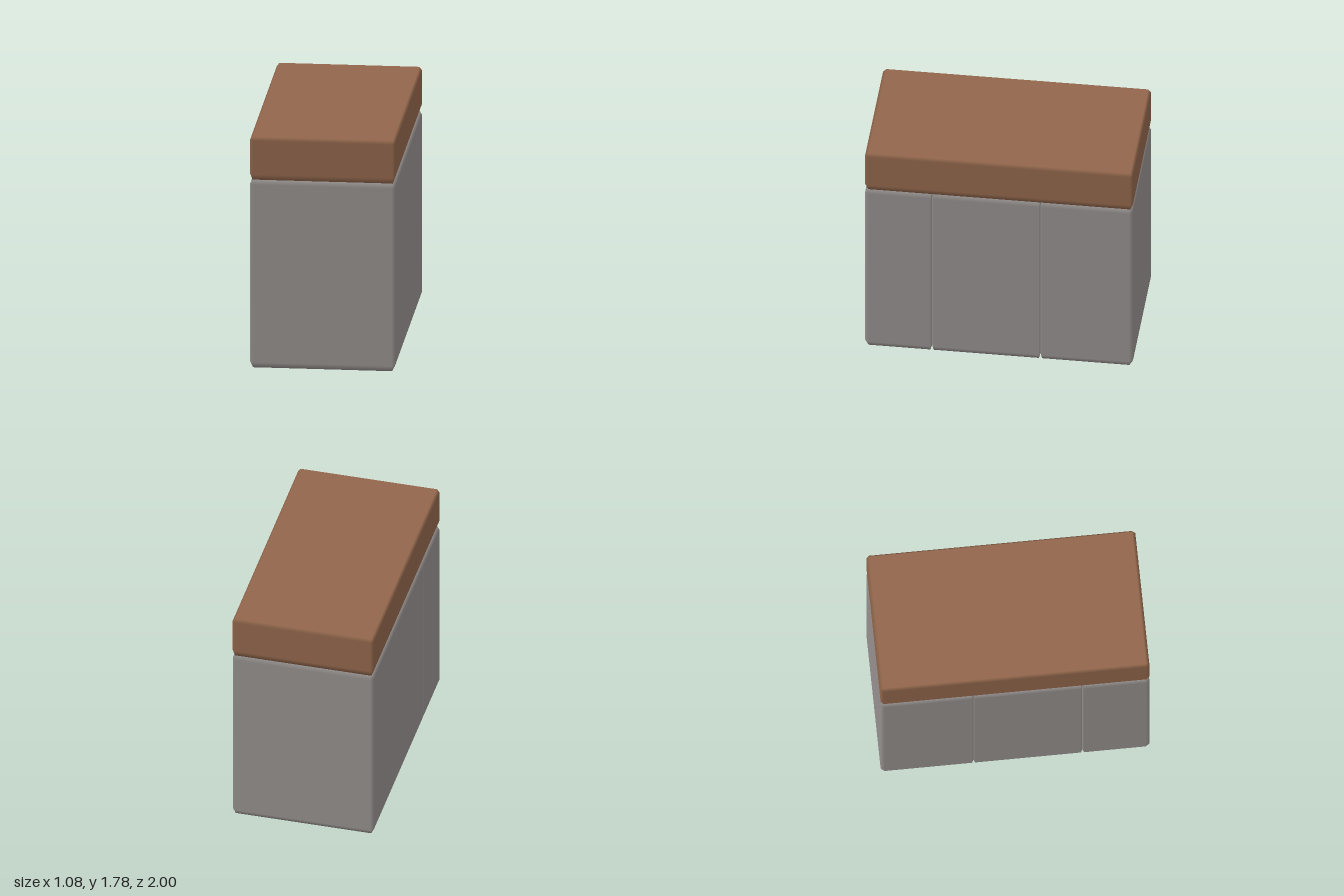
import * as THREE from 'three';

// Box with chamfered edges; lo/hi are opposite corners, bLo/bHi the chamfer on each axis side.
// Normals follow the main faces, so shading blends softly across the chamfers.
function chamferBox(lo, hi, bLo, bHi) {
  const pos = [], nor = [];
  const centre = new THREE.Vector3(...lo.map((v, i) => (v + hi[i]) / 2));
  // point of corner s that lies on the main face of the given axis
  const point = (s, axis) => new THREE.Vector3(...s.map((side, i) => {
    const inset = i === axis ? 0 : side > 0 ? bHi[i] : bLo[i];
    return side > 0 ? hi[i] - inset : lo[i] + inset;
  }));
  const tri = (...corners) => {
    const p = corners.map(([s, a]) => point(s, a));
    const n = p[1].clone().sub(p[0]).cross(p[2].clone().sub(p[0]));
    const outward = n.dot(p[0].clone().sub(centre)) > 0;
    for (const i of outward ? [0, 1, 2] : [0, 2, 1]) {
      const [s, a] = corners[i];
      pos.push(...p[i].toArray());
      nor.push(...[0, 1, 2].map((k) => (k === a ? s[k] : 0)));
    }
  };
  const quad = (a, b, c, d) => { tri(a, b, c); tri(a, c, d); };
  const corner = (axis, u, v, w) => {
    const s = [0, 0, 0];
    s[axis] = u; s[(axis + 1) % 3] = v; s[(axis + 2) % 3] = w;
    return s;
  };
  for (let a = 0; a < 3; a++) {
    const b = (a + 1) % 3, c = (a + 2) % 3;
    // main faces
    for (const u of [-1, 1]) {
      quad(...[[-1, -1], [1, -1], [1, 1], [-1, 1]].map(([v, w]) => [corner(a, u, v, w), a]));
    }
    // edge chamfers running along this axis
    for (const v of [-1, 1]) for (const w of [-1, 1]) {
      const s = corner(a, -1, v, w), e = corner(a, 1, v, w);
      quad([s, b], [e, b], [e, c], [s, c]);
    }
  }
  // corner triangles
  for (const x of [-1, 1]) for (const y of [-1, 1]) for (const z of [-1, 1]) {
    const s = [x, y, z];
    tri([s, 0], [s, 1], [s, 2]);
  }
  const g = new THREE.BufferGeometry();
  g.setAttribute('position', new THREE.Float32BufferAttribute(pos, 3));
  g.setAttribute('normal', new THREE.Float32BufferAttribute(nor, 3));
  return g;
}

export function createModel() {
  const model = new THREE.Group();
  const stone = new THREE.MeshStandardMaterial({ color: 0x96918f });
  stone.name = 'grey stone';
  const wood = new THREE.MeshStandardMaterial({ color: 0x92674c });
  wood.name = 'brown wood';

  const add = (name, geometry, material) => {
    const mesh = new THREE.Mesh(geometry, material);
    mesh.name = name;
    model.add(mesh);
  };

  // three stone blocks side by side, with finer chamfers at the joints
  const joints = [-1, -0.31, 0.5, 1];
  ['backBlock', 'middleBlock', 'frontBlock'].forEach((name, i) => {
    const back = i === 0 ? 0.027 : 0.012;
    const front = i === 2 ? 0.027 : 0.012;
    add(name, chamferBox(
      [-0.54, 0, joints[i]], [0.54, 1.455, joints[i + 1]],
      [0.022, 0.045, back], [0.022, 0.04, front]), stone);
  });

  // slab lying across the blocks
  add('topSlab', chamferBox(
    [-0.54, 1.445, -1], [0.54, 1.78, 1],
    [0.02, 0.05, 0.02], [0.018, 0.025, 0.025]), wood);

  return model;
}
